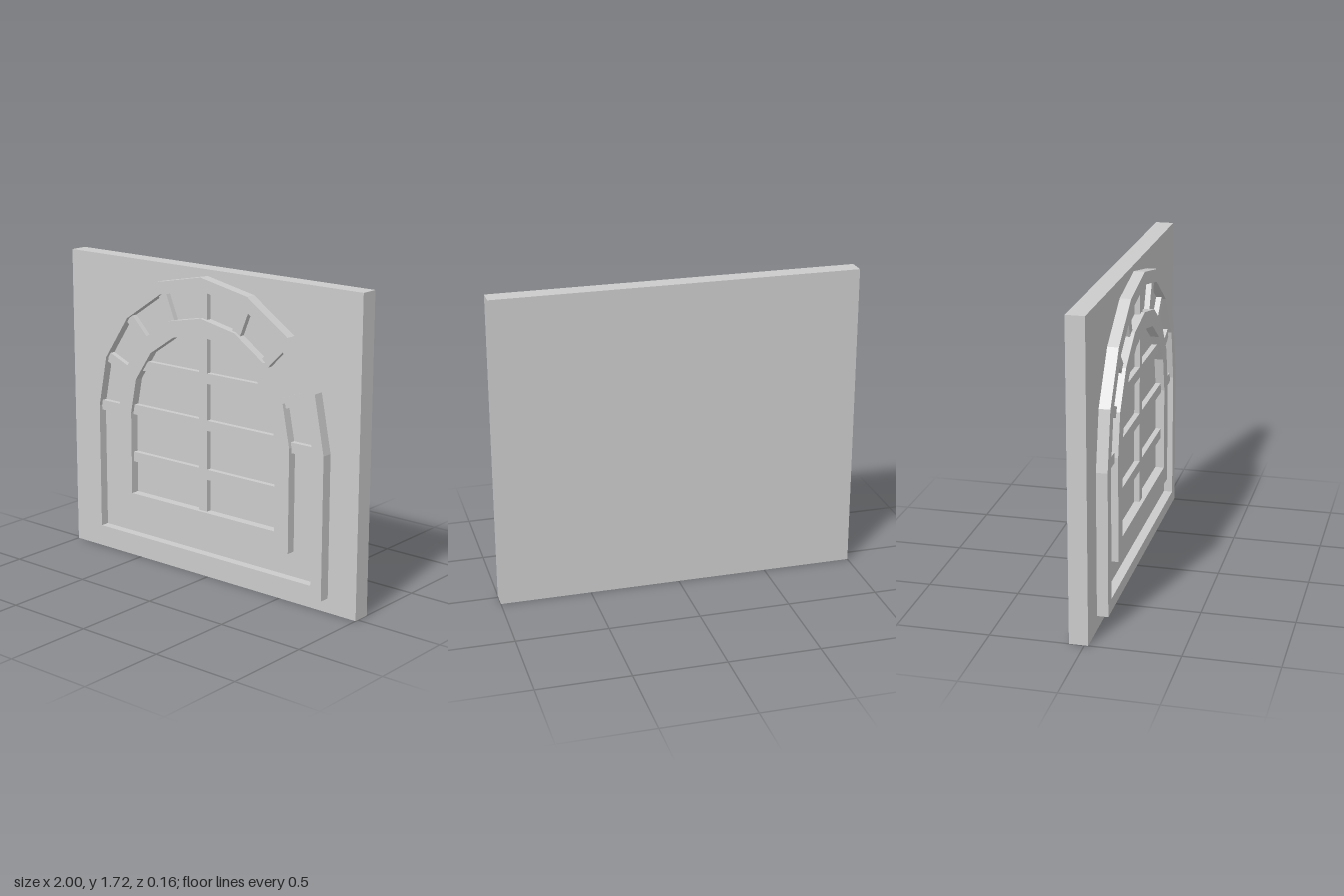
import * as THREE from 'three';

const material = new THREE.MeshStandardMaterial({ color: 0xcccccc, flatShading: true });
const SPRING = 0.865; // height where the arches begin
const WALL = 0.02, PANE = 0.03, BAR = 0.06, FRAME = 0.08; // front planes in z

// Outline with a straight lower part and an eight-sided half-round top
function archPoints(radius, bottom) {
  const points = [new THREE.Vector2(-radius, bottom), new THREE.Vector2(radius, bottom)];
  for (let i = 0; i <= 8; i++) {
    const a = (i * Math.PI) / 8;
    points.push(new THREE.Vector2(radius * Math.cos(a), SPRING + radius * Math.sin(a)));
  }
  return points;
}

function addMesh(parent, name, geometry) {
  const mesh = new THREE.Mesh(geometry, material);
  mesh.name = name;
  parent.add(mesh);
  return mesh;
}

// Extruded arch from the wall to a front plane, with an optional arched opening
function addArch(parent, name, front, outer, inner) {
  const shape = new THREE.Shape(archPoints(...outer));
  if (inner) shape.holes.push(new THREE.Path(archPoints(...inner).reverse()));
  const geometry = new THREE.ExtrudeGeometry(shape, { depth: front - WALL, bevelEnabled: false });
  geometry.translate(0, 0, WALL);
  return addMesh(parent, name, geometry);
}

// Flat bar standing on the wall
function addBar(parent, name, width, height, x, y) {
  const bar = addMesh(parent, name, new THREE.BoxGeometry(width, height, BAR - WALL));
  bar.position.set(x, y, (BAR + WALL) / 2);
  return bar;
}

export function createModel() {
  const model = new THREE.Group();
  model.name = 'archedWindowWall';

  // Wall slab
  const wall = addMesh(model, 'wall', new THREE.BoxGeometry(2, 1.72, 0.1));
  wall.position.set(0, 0.86, -0.03);

  // Pane and the two frames
  addArch(model, 'windowPane', PANE, [0.78, 0.12]);
  addArch(model, 'outerFrame', FRAME, [0.82, 0.08], [0.75, 0.15]);
  addArch(model, 'innerFrame', FRAME, [0.6, 0.29], [0.508, 0.395]);

  // Radial bars between the frames
  const spokes = new THREE.Group();
  spokes.name = 'radialBars';
  for (let i = 0; i <= 8; i++) {
    const a = (i * Math.PI) / 8;
    const r = 0.675;
    const bar = addBar(spokes, 'radialBar', 0.2, 0.057, r * Math.cos(a), SPRING + r * Math.sin(a));
    bar.rotation.z = a;
  }
  model.add(spokes);

  // Window grille
  const grille = new THREE.Group();
  grille.name = 'grille';
  addBar(grille, 'uprightBar', 0.057, 1.06, 0, 0.885);
  for (const [y, halfWidth] of [[0.605, 0.55], [0.88, 0.55], [1.14, 0.46]]) {
    for (const side of [-1, 1]) {
      const length = halfWidth - 0.0285;
      addBar(grille, 'crossBar', length, 0.057, side * (0.0285 + length / 2), y);
    }
  }
  model.add(grille);

  return model;
}
